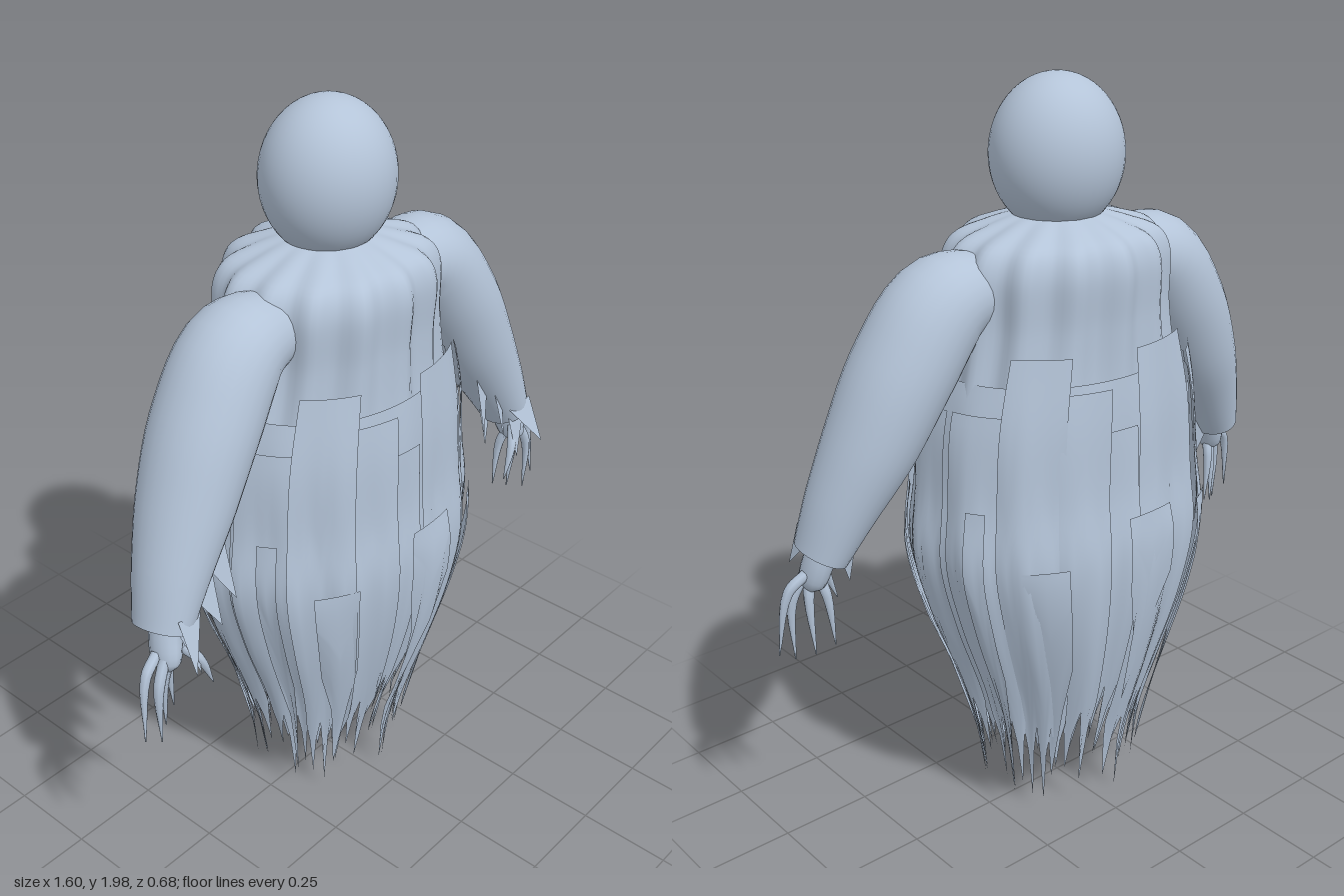
import * as THREE from 'three';
import { mergeVertices } from 'three/addons/utils/BufferGeometryUtils.js';

const cloth = new THREE.MeshStandardMaterial({ color: 0xb4c4d8, side: THREE.DoubleSide });
cloth.name = 'pale blue grey cloth';

let seed = 11;
const rand = () => ((seed = (seed * 16807) % 2147483647) / 2147483647);

// Surface from a function (u, v) -> Vector3, both in 0..1
function surface(name, cols, rows, at) {
  const pos = [], index = [];
  for (let j = 0; j <= rows; j++)
    for (let i = 0; i <= cols; i++) pos.push(...at(i / cols, j / rows, i).toArray());
  for (let j = 0; j < rows; j++)
    for (let i = 0; i < cols; i++) {
      const a = j * (cols + 1) + i, b = a + cols + 1;
      index.push(a, b, a + 1, a + 1, b, b + 1);
    }
  let geo = new THREE.BufferGeometry();
  geo.setAttribute('position', new THREE.Float32BufferAttribute(pos, 3));
  geo.setIndex(index);
  geo = mergeVertices(geo, 1e-5);
  geo.computeVertexNormals();
  const mesh = new THREE.Mesh(geo, cloth);
  mesh.name = name;
  return mesh;
}

// Smooth radii (rx, rz) at height y, from rows of [y, rx, rz] going down
function radii(profile, y) {
  let k = 0;
  while (k < profile.length - 2 && y < profile[k + 1][0]) k++;
  const [y0, x0, z0] = profile[k], [y1, x1, z1] = profile[k + 1];
  const t = THREE.MathUtils.clamp((y - y0) / (y1 - y0), 0, 1);
  return [x0 + (x1 - x0) * t, z0 + (z1 - z0) * t];
}

// Smooth a coarse profile through a spline
const smooth = (rows) => new THREE.CatmullRomCurve3(rows.map(([y, rx, rz]) => new THREE.Vector3(rx, y, rz)))
  .getPoints(60).map((p) => [p.y, p.x, p.z]);

const torsoProfile = smooth([[1.665, 0.11, 0.1], [1.645, 0.18, 0.16], [1.61, 0.265, 0.225], [1.56, 0.295, 0.245],
  [1.42, 0.305, 0.24], [1.25, 0.34, 0.245], [1.05, 0.38, 0.27]]);
const robeProfile = smooth([[1.4, 0.325, 0.28], [1.2, 0.385, 0.295], [1.0, 0.405, 0.3], [0.84, 0.42, 0.315],
  [0.65, 0.375, 0.295], [0.4, 0.285, 0.235], [0.2, 0.235, 0.175], [0, 0.215, 0.155]]);

// Point on the robe; angle 0 faces the front
function robePoint(profile, angle, y, offset, fold) {
  const [rx, rz] = radii(profile, y);
  const f = offset + fold;
  return new THREE.Vector3(Math.sin(angle) * (rx + f), y, Math.cos(angle) * (rz + f));
}

// Hanging ribbon of cloth whose hem is torn into pointed teeth
function ribbon(name, a0, a1, top, bottom, offset, teeth, depth) {
  const per = 4, cols = teeth * per;
  const tips = Array.from({ length: teeth }, () => bottom + rand() * 0.13);
  tips[Math.floor(teeth / 2)] = bottom;
  const hem = Array.from({ length: cols + 1 }, (_, i) => {
    const k = i % per, tip = tips[Math.min(teeth - 1, Math.floor(i / per))];
    return k === 2 ? tip : k === 0 ? bottom + depth : tip + (bottom + depth - tip) * 0.62;
  });
  const phase = rand() * 6;
  return surface(name, cols, 36, (u, v, i) => {
    const y = top + (hem[i] - top) * v;
    const angle = a0 + (a1 - a0) * u;
    const fold = 0.008 * Math.sin(angle * 13 + phase + y * 2) * Math.min(1, v * 3);
    return robePoint(robeProfile, angle, y, offset, fold);
  });
}

// Round limb through rows of [x, y, z, radius in x-y, radius in z]
function limb(name, rows, sides = 20, steps = 24) {
  const path = new THREE.CatmullRomCurve3(rows.map((r) => new THREE.Vector3(r[0], r[1], r[2])));
  const size = new THREE.CatmullRomCurve3(rows.map((r, i) => new THREE.Vector3(r[3], r[4], i)));
  const zAxis = new THREE.Vector3(0, 0, 1);
  return surface(name, sides, steps, (u, v) => {
    const tangent = path.getTangent(v), r = size.getPoint(v), a = (u % 1) * Math.PI * 2;
    const n = new THREE.Vector3().crossVectors(tangent, zAxis).normalize();
    const b = new THREE.Vector3().crossVectors(n, tangent);
    return path.getPoint(v).addScaledVector(n, Math.cos(a) * r.x).addScaledVector(b, Math.sin(a) * r.y);
  });
}

// Torn triangular scrap of cloth
function scrap(name, ...corners) {
  const geo = new THREE.BufferGeometry();
  geo.setAttribute('position', new THREE.Float32BufferAttribute(corners.flat(), 3));
  geo.computeVertexNormals();
  const mesh = new THREE.Mesh(geo, cloth);
  mesh.name = name;
  return mesh;
}

// Left arm; the right one is built with mirrored x
function arm(side) {
  const g = new THREE.Group();
  g.name = side > 0 ? 'leftArm' : 'rightArm';
  const mx = (rows) => rows.map(([x, ...rest]) => [x * side, ...rest]);
  g.add(limb('sleeve', mx([
    [0.23, 1.51, 0.02, 0.09, 0.1], [0.35, 1.485, 0.02, 0.12, 0.128], [0.46, 1.345, 0.03, 0.125, 0.137],
    [0.55, 1.18, 0.045, 0.113, 0.125], [0.63, 1.03, 0.067, 0.088, 0.1], [0.685, 0.91, 0.085, 0.064, 0.08],
  ]), 28));
  // Hand and clawed fingers
  g.add(limb('palm', mx([
    [0.66, 0.97, 0.085, 0.035, 0.04], [0.685, 0.89, 0.095, 0.036, 0.045], [0.7, 0.83, 0.11, 0.03, 0.04], [0.705, 0.8, 0.115, 0.004, 0.006],
  ]), 14, 12));
  const fingers = [
    [[0.72, 0.86, 0.1], [0.768, 0.82, 0.11], [0.797, 0.65, 0.125]],
    [[0.715, 0.85, 0.12], [0.748, 0.78, 0.13], [0.75, 0.62, 0.13]],
    [[0.7, 0.84, 0.12], [0.712, 0.78, 0.11], [0.708, 0.63, 0.1]],
    [[0.685, 0.84, 0.1], [0.675, 0.79, 0.085], [0.662, 0.65, 0.08]],
    [[0.67, 0.87, 0.13], [0.635, 0.82, 0.155], [0.6, 0.73, 0.16]],
  ];
  fingers.forEach(([a, b, c]) => g.add(limb('finger', mx([
    [...a, 0.014, 0.014], [...b, 0.013, 0.013], [...c, 0.0015, 0.0015],
  ]), 8, 10)));
  // Torn cuff
  [
    [[0.7, 0.97, 0.16], [0.62, 0.95, 0.15], [0.7, 0.84, 0.215]],
    [[0.62, 0.98, 0.12], [0.56, 1.04, 0.13], [0.57, 0.89, 0.17]],
    [[0.57, 1.05, 0.1], [0.5, 1.1, 0.11], [0.5, 0.92, 0.15]],
    [[0.65, 0.91, 0.06], [0.59, 0.96, 0.06], [0.61, 0.81, 0.08]],
    [[0.69, 0.92, 0.15], [0.63, 0.92, 0.14], [0.645, 0.79, 0.17]],
  ].forEach((corners) => g.add(scrap('cuffTatter', ...mx(corners))));
  return g;
}

export function createModel() {
  const model = new THREE.Group();
  model.name = 'raggedPhantom';

  const head = new THREE.Mesh(new THREE.SphereGeometry(1, 40, 28), cloth);
  head.name = 'head';
  head.scale.set(0.172, 0.195, 0.163);
  head.position.y = 1.805;
  model.add(head);

  // Gathered shoulders and chest
  model.add(surface('torso', 112, 40, (u, v) => {
    const y = 1.665 - 0.6 * Math.pow(v, 1.4), a = (u % 1) * Math.PI * 2;
    const pleat = 0.012 * Math.cos(a * 14) * Math.min(1, v * 8) + 0.006 * Math.sin(a * 5 + 1 + y * 6) * v;
    return robePoint(torsoProfile, a, y, 0, pleat);
  }));

  // Inner robe with torn hem
  model.add(ribbon('innerRobe', -Math.PI, Math.PI, 1.3, 0.14, -0.025, 26, 0.22));

  // Hanging strips [start angle, end angle, top, bottom, offset, teeth], repeated half a turn round
  const strips = [
    [0, 0.56, 1.38, 0.02, 0.012, 3], [-0.98, -0.52, 1.38, 0.06, 0.012, 3],
    [-0.56, -0.2, 1.29, 0.1, 0.006, 2], [-0.24, 0.02, 1.18, 0.16, 0, 2],
    [0.52, 0.72, 1.22, 0.1, 0.004, 2], [0.68, 1.0, 1.31, 0.04, 0.012, 2],
    [0.96, 1.3, 1.22, 0.08, 0, 2], [1.25, 1.7, 1.24, 0.12, 0.01, 3],
    [-1.4, -0.95, 1.24, 0.08, 0.006, 3],
    [-0.1, 0.24, 0.95, 0.36, 0.024, 1], [0.6, 0.85, 0.9, 0.12, 0.022, 1], [-0.8, -0.5, 0.85, 0.14, 0.022, 1],
    [1.05, 1.2, 1.0, 0.2, 0.016, 1], [-1.2, -1.05, 1.0, 0.1, 0.018, 1],
  ];
  for (const turn of [0, Math.PI])
    for (const [a0, a1, top, bottom, offset, teeth] of strips)
      model.add(ribbon('robeStrip', a0 + turn, a1 + turn, top, bottom, offset, teeth, teeth > 1 ? 0.26 : 0.4));

  model.add(arm(1), arm(-1));
  return model;
}
